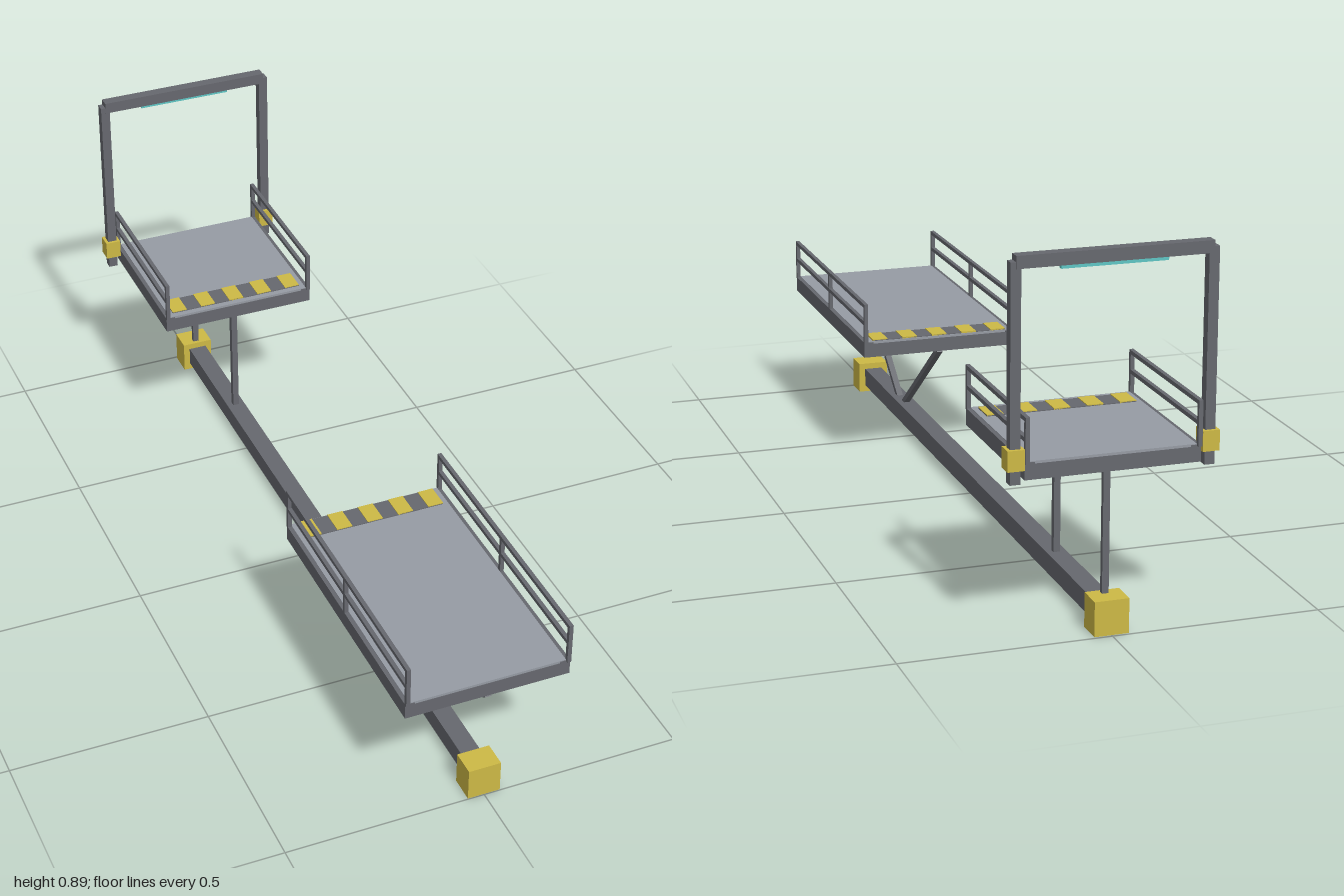
import * as THREE from 'three';

const paint = (name, color) => {
  const m = new THREE.MeshStandardMaterial({ color });
  m.name = name;
  return m;
};

export function createModel() {
  const steel = paint('dark steel', 0x66686e);
  const plate = paint('deck grey', 0x969ba4);
  const yellow = paint('safety yellow', 0xcdb945);
  const cyan = paint('light cyan', 0x5fc6c4);

  const model = new THREE.Group();
  model.name = 'gantryPlatforms';

  // Box given by its min and max corners
  const box = (parent, name, mat, [x0, y0, z0], [x1, y1, z1]) => {
    const mesh = new THREE.Mesh(new THREE.BoxGeometry(x1 - x0, y1 - y0, z1 - z0), mat);
    mesh.position.set((x0 + x1) / 2, (y0 + y1) / 2, (z0 + z1) / 2);
    mesh.name = name;
    parent.add(mesh);
    return mesh;
  };

  // Long ground beam with end blocks
  box(model, 'groundBeam', steel, [-0.024, 0.018, -0.98], [0.024, 0.067, 0.98]);
  box(model, 'frontEndBlock', yellow, [-0.041, 0, 0.933], [0.041, 0.083, 0.998]);
  box(model, 'backEndBlock', yellow, [-0.041, 0, -0.994], [0.041, 0.083, -0.929]);

  // Platform: open frame, cross beams, deck, hazard strip and two railings
  function addPlatform(name, y, z0, z1, hazardZ, postZs) {
    const g = new THREE.Group();
    g.name = name;
    model.add(g);
    const top = y + 0.041;
    const w = 0.2;
    const t = 0.024;
    box(g, 'deck', plate, [-w + 0.004, top - 0.012, z0 + 0.001], [w - 0.004, top + 0.001, z1 - 0.001]);
    for (const s of [-1, 1]) {
      const a = s * 0.206, b = s * (0.206 - t);
      box(g, 'sideBeam', steel, [Math.min(a, b), y, z0], [Math.max(a, b), top - 0.001, z1]);
    }
    const inner = 0.206 - t;
    for (const z of [z0, z1 - t]) {
      box(g, 'endBeam', steel, [-inner, y, z], [inner, top - 0.005, z + t]);
    }
    for (const f of [1 / 3, 2 / 3]) {
      const z = z0 + (z1 - z0) * f;
      box(g, 'crossBeam', steel, [-inner, y + 0.008, z - 0.01], [inner, top - 0.012, z + 0.01]);
    }

    // Hazard strip: dark base with five yellow plates
    box(g, 'hazardBase', steel, [-0.182, top, hazardZ - 0.032], [0.182, top + 0.003, hazardZ + 0.032]);
    for (let i = -2; i <= 2; i++) {
      const x = i * 0.081;
      box(g, 'hazardStripe', yellow, [x - 0.02, top, hazardZ - 0.032], [x + 0.02, top + 0.005, hazardZ + 0.032]);
    }

    // Railings
    for (const s of [-1, 1]) {
      const x = s * 0.201;
      for (const z of postZs) {
        box(g, 'railPost', steel, [x - 0.005, top - 0.004, z - 0.005], [x + 0.005, y + 0.143, z + 0.005]);
      }
      const zs = [Math.min(...postZs) - 0.005, Math.max(...postZs) + 0.005];
      for (const h of [0.092, 0.139]) {
        box(g, 'handRail', steel, [x - 0.005, y + h - 0.005, zs[0]], [x + 0.005, y + h + 0.005, zs[1]]);
      }
    }
  }
  addPlatform('frontPlatform', 0.301, 0.283, 0.995, 0.319, [0.286, 0.64, 0.995]);
  addPlatform('backPlatform', 0.384, -0.99, -0.58, -0.629, [-0.992, -0.581]);

  // Sloping braces under the front platform
  function addBrace(zLow, zHigh) {
    const a = new THREE.Vector3(0, 0.06, zLow);
    const b = new THREE.Vector3(0, 0.304, zHigh);
    const d = b.clone().sub(a);
    const mesh = new THREE.Mesh(new THREE.BoxGeometry(0.016, d.length(), 0.014), steel);
    mesh.position.copy(a).add(b).multiplyScalar(0.5);
    mesh.rotation.x = Math.atan2(d.z, d.y);
    mesh.name = 'brace';
    model.add(mesh);
  }
  addBrace(0.66, 0.992);
  addBrace(0.613, 0.287);

  // Legs below the back platform
  box(model, 'frontLeg', steel, [-0.008, 0.06, -0.633], [0.008, 0.376, -0.617]);
  box(model, 'backLeg', steel, [-0.008, 0.06, -0.951], [0.008, 0.376, -0.939]);

  // Portal gate with clamps and lamp
  const gate = new THREE.Group();
  gate.name = 'gate';
  model.add(gate);
  const gz = -0.977;
  for (const s of [-1, 1]) {
    const x = s * 0.227;
    box(gate, 'gatePost', steel, [x - 0.012, 0.375, gz - 0.012], [x + 0.012, 0.872, gz + 0.012]);
    box(gate, 'clamp', yellow, [x - 0.02, 0.408, gz - 0.02], [x + 0.02, 0.456, gz + 0.02]);
  }
  box(gate, 'gateBeam', steel, [-0.227, 0.857, gz - 0.014], [0.227, 0.886, gz + 0.014]);
  box(gate, 'lamp', cyan, [-0.123, 0.848, gz - 0.007], [0.123, 0.858, gz + 0.007]);

  return model;
}
